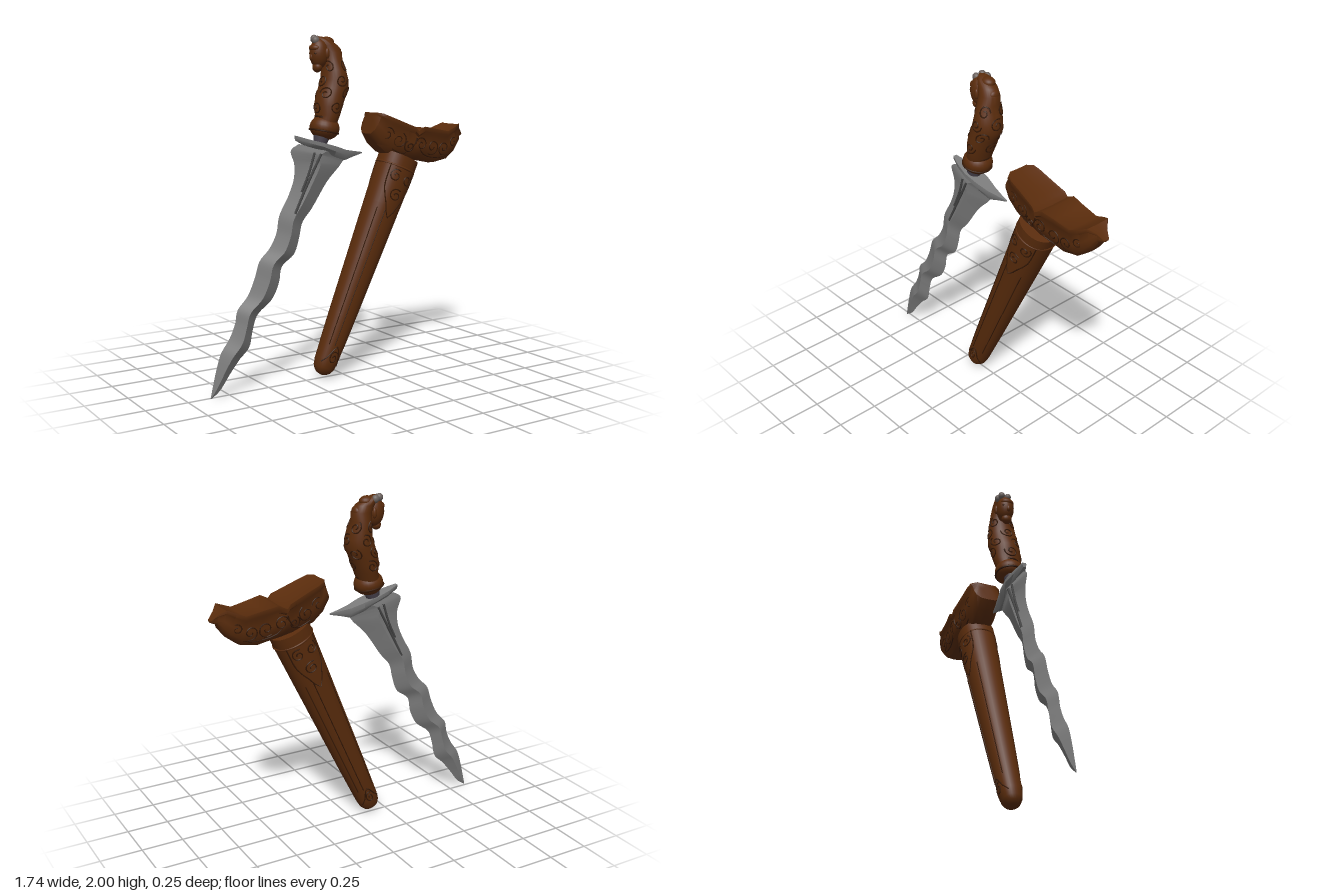
import * as THREE from 'three';
import { toCreasedNormals } from 'three/addons/utils/BufferGeometryUtils.js';

const V = (x, y, z) => new THREE.Vector3(x, y, z);
const mat = (name, color) => new THREE.MeshStandardMaterial({ name, color });

// Closed skin through rings of equal point count, capped at both ends
function loft(rings, crease = 0.7) {
  const n = rings[0].length, pos = [], idx = [];
  rings.forEach(r => r.forEach(p => pos.push(p.x, p.y, p.z)));
  for (let i = 0; i + 1 < rings.length; i++) for (let j = 0; j < n; j++) {
    const a = i * n + j, b = i * n + (j + 1) % n;
    idx.push(a, b, a + n, b, b + n, a + n);
  }
  [0, rings.length - 1].forEach(k => {
    const c = rings[k].reduce((s, p) => s.add(p), V(0, 0, 0)).divideScalar(n);
    const ci = pos.length / 3;
    pos.push(c.x, c.y, c.z);
    for (let j = 0; j < n; j++) {
      const a = k * n + j, b = k * n + (j + 1) % n;
      if (k) idx.push(a, b, ci); else idx.push(b, a, ci);
    }
  });
  // Turn the skin outward when its signed volume is negative
  const at = i => V(pos[3 * i], pos[3 * i + 1], pos[3 * i + 2]);
  let vol = 0;
  for (let i = 0; i < idx.length; i += 3) vol += at(idx[i]).dot(at(idx[i + 1]).cross(at(idx[i + 2])));
  if (vol < 0) idx.reverse();
  const g = new THREE.BufferGeometry();
  g.setAttribute('position', new THREE.Float32BufferAttribute(pos, 3));
  g.setIndex(idx);
  return toCreasedNormals(g, crease);
}

// Linear lookup of one column in a table of rows
function look(rows, x, col, key = 0) {
  let i = 1;
  while (i < rows.length - 1 && rows[i][key] < x) i++;
  const a = rows[i - 1], b = rows[i];
  const t = THREE.MathUtils.clamp((x - a[key]) / (b[key] - a[key]), 0, 1);
  return a[col] + (b[col] - a[col]) * t;
}

const range = (n, f) => Array.from({ length: n }, (_, i) => f(i, i / (n - 1)));
const spiral = (cx, cy, r, turn = 1, start = 0) => range(16, (i, t) => {
  const a = start + turn * t * 8.5, q = r * (1 - 0.8 * t);
  return [cx + q * Math.cos(a), cy + q * Math.sin(a)];
});

export function createModel() {
  const wood = mat('carved wood', 0x5a2c0c);
  const dark = mat('dark carving', 0x341804);
  const steel = mat('blade steel', 0x7c7c7c);
  const groove = mat('dark steel', 0x484848);
  const ferruleMat = mat('ferrule metal', 0x48424c);
  const horn = mat('grey crown', 0x6b625e);
  const root = new THREE.Group();
  const group = name => { const g = new THREE.Group(); g.name = name; root.add(g); return g; };
  const add = (parent, name, geo, m) => {
    const mesh = new THREE.Mesh(geo, m);
    mesh.name = name;
    parent.add(mesh);
    return mesh;
  };
  const line = (parent, name, pts, r, m = dark) =>
    add(parent, name, new THREE.TubeGeometry(new THREE.CatmullRomCurve3(pts), pts.length * 2, r, 5), m);
  const ball = (parent, name, p, s, m = wood) => {
    const b = add(parent, name, new THREE.SphereGeometry(1, 24, 16), m);
    b.position.set(...p);
    b.scale.set(...s);
    return b;
  };

  // Wavy blade: left x, left y, right x, right y from the tip upward
  const dagger = group('dagger'), zc = 0.015;
  const edges = [
    [-.873, .004, -.868, .001], [-.855, .08, -.815, .04], [-.835, .16, -.755, .12], [-.805, .25, -.69, .20],
    [-.75, .33, -.63, .26], [-.715, .41, -.605, .36], [-.70, .48, -.575, .44], [-.635, .555, -.48, .52],
    [-.59, .65, -.435, .61], [-.557, .745, -.415, .70], [-.495, .81, -.335, .765], [-.45, .89, -.30, .86],
    [-.43, .99, -.28, .94], [-.37, 1.10, -.215, 1.02], [-.335, 1.19, -.11, 1.17], [-.33, 1.275, -.03, 1.25],
    [-.352, 1.355, 0, 1.285], [-.30, 1.39, .03, 1.30]];
  const left = new THREE.CatmullRomCurve3(edges.map(e => V(e[0], e[1], zc)));
  const right = new THREE.CatmullRomCurve3(edges.map(e => V(e[2], e[3], zc)));
  add(dagger, 'blade', loft(range(90, (i, t) => {
    const l = left.getPoint(t), r = right.getPoint(t), m = l.clone().lerp(r, 0.5);
    const h = 0.036 * Math.min(1, 0.03 + t * 5);
    return [l, V(m.x, m.y, zc + h), r, V(m.x, m.y, zc - h)];
  }), 0.45), steel);

  // Grooves below the guard
  for (const s of [1, -1]) {
    line(dagger, 'bladeGroove', [V(-.345, 1.0, zc + s * .032), V(-.27, 1.15, zc + s * .031), V(-.175, 1.33, zc + s * .036)], .008, groove);
    line(dagger, 'bladeGroove', [V(-.30, 1.12, zc + s * .028), V(-.25, 1.23, zc + s * .03), V(-.215, 1.34, zc + s * .032)], .007, groove);
  }

  // Slanting guard: x, top, bottom, half depth
  const guard = [[-.32, 1.437, 1.41, .012], [-.25, 1.415, 1.375, .035], [-.17, 1.395, 1.35, .052],
    [-.08, 1.37, 1.31, .046], [0, 1.345, 1.285, .03], [.06, 1.335, 1.302, .016], [.125, 1.325, 1.318, .003]];
  add(dagger, 'guard', loft(guard.map(([x, t, b, h]) => [
    V(x, t, zc - h), V(x, t, zc + h), V(x, t - (t - b) * .5, zc + h), V(x, b, zc + h * .5),
    V(x, b, zc - h * .5), V(x, t - (t - b) * .5, zc - h)])), steel);

  // Ferrule and round handle base
  const ferrule = add(dagger, 'ferrule', new THREE.CylinderGeometry(.05, .038, .08, 24), ferruleMat);
  ferrule.position.set(-.15, 1.415, .01);
  ferrule.rotation.z = -.25;
  ball(dagger, 'handleBase', [-.125, 1.475, .008], [.086, .07, .086]).rotation.z = -.2;
  for (const [x, y, r] of [[-.13, 1.455, .083], [-.112, 1.53, .062]]) {
    const ring = add(dagger, 'handleRing', new THREE.TorusGeometry(r, .006, 6, 32), dark);
    ring.position.set(x, y, .008);
    ring.rotation.set(Math.PI / 2, -.2, 0);
  }

  // Curved handle: y, centre x, half width, centre z, half depth
  const grip = [[1.5, -.12, .066, .005, .075], [1.55, -.103, .067, .005, .085], [1.6, -.095, .08, 0, .09],
    [1.65, -.08, .085, 0, .09], [1.7, -.058, .088, -.005, .09], [1.75, -.052, .077, -.005, .088],
    [1.8, -.053, .068, -.01, .081], [1.85, -.06, .058, -.018, .07], [1.9, -.06, .062, -.022, .058],
    [1.94, -.08, .06, -.028, .05], [1.97, -.11, .045, -.035, .042], [1.99, -.135, .02, -.045, .025]];
  const onGrip = (a, y) => V(look(grip, y, 1) + look(grip, y, 2) * Math.sin(a), y,
    look(grip, y, 3) + look(grip, y, 4) * Math.cos(a));
  add(dagger, 'handle', loft(grip.map(g => range(28, i => onGrip(i / 28 * Math.PI * 2, g[0]))), 1.1), wood);
  for (let k = 0; k < 4; k++) for (let j = 0; j < 4; j++) {
    const s = spiral(0, 0, .038, (k + j) % 2 ? 1 : -1, k);
    line(dagger, 'handleScroll', s.map(([u, v]) => onGrip(k * Math.PI / 2 + (j % 2) * .6 + u * 13, 1.595 + j * .075 + v)), .004);
  }

  // Small figure head with face, curl and grey crown
  ball(dagger, 'head', [-.14, 1.895, -.025], [.057, .085, .052]);
  ball(dagger, 'brow', [-.165, 1.925, -.025], [.035, .025, .042]);
  ball(dagger, 'nose', [-.187, 1.875, -.025], [.015, .022, .014]);
  ball(dagger, 'chin', [-.155, 1.818, -.022], [.026, .03, .032]);
  ball(dagger, 'hairCurl', [-.022, 1.905, -.025], [.022, .03, .035]);
  ball(dagger, 'hairKnot', [-.085, 1.96, -.035], [.045, .03, .038]);
  for (const s of [1, -1]) {
    ball(dagger, 'eye', [-.178, 1.895, -.025 + s * .027], [.012, .007, .01], dark);
    ball(dagger, 'ear', [-.115, 1.895, -.025 + s * .048], [.014, .03, .012]);
  }
  for (const [x, y, z] of [[-.155, 1.977, -.055], [-.165, 1.968, -.02], [-.125, 1.972, -.065]])
    ball(dagger, 'crown', [x, y, z], [.022, .023, .02], horn);

  // Sheath stem, built along its own axis: height, radius
  const sheath = group('sheath'), stem = new THREE.Group();
  stem.name = 'sheathStem';
  stem.position.set(-.13, .085, .012);
  stem.rotation.z = -.412;
  sheath.add(stem);
  const radii = [[-.066, .006], [-.06, .028], [-.045, .048], [-.02, .062], [.03, .069], [.3, .082],
    [.65, .096], [1, .11], [1.25, .12], [1.31, .12]];
  const onStem = (a, t) => {
    const r = look(radii, t, 1), c = Math.cos(a), s = Math.sin(a);
    return V(r * Math.sign(s) * Math.abs(s) ** .9, t, r * .92 * Math.sign(c) * Math.abs(c) ** .9);
  };
  add(stem, 'stemBody', loft(radii.map(p => range(32, i => onStem(i / 32 * Math.PI * 2, p[0]))), .8), wood);
  for (const side of [0, Math.PI]) {
    for (const a of [-.75, -.25, .75])
      line(stem, 'stemRidge', range(8, (i, t) => onStem(side + a, .12 + t * .85)), .003);
    line(stem, 'stemPanel', [[-.8, 1.24], [-.75, 1.1], [-.4, 1.02], [0, .93], [.4, 1.02], [.75, 1.1], [.8, 1.24]]
      .map(([a, t]) => onStem(side + a, t)), .004);
    line(stem, 'tipPanel', [[-1, .01], [-.5, .05], [0, .12], [.5, .05], [1, .01]]
      .map(([a, t]) => onStem(side + a, t)), .004);
    [[-.35, 1.18, 1], [.35, 1.18, -1], [0, 1.07, 1], [0, .05, 1]].forEach(([a, t, d]) =>
      line(stem, 'stemScroll', spiral(0, 0, .04, d, 1).map(([u, v]) => onStem(side + a + u * 9, t + v)), .004));
  }
  const collar = add(stem, 'stemCollar', new THREE.TorusGeometry(.119, .007, 8, 40), wood);
  collar.rotation.x = Math.PI / 2;
  collar.scale.y = .92;
  collar.position.y = 1.24;

  // Boat-shaped mouthpiece: top x, top y, bottom x, bottom y, half depth
  const mouth = [[.20, 1.555, .185, 1.50, .06], [.225, 1.55, .165, 1.43, .095], [.26, 1.535, .205, 1.365, .105],
    [.325, 1.51, .27, 1.31, .11], [.40, 1.48, .40, 1.277, .118], [.44, 1.465, .45, 1.268, .123],
    [.46, 1.44, .48, 1.263, .125], [.51, 1.465, .52, 1.256, .122], [.59, 1.45, .62, 1.236, .112],
    [.695, 1.43, .72, 1.255, .105], [.75, 1.452, .78, 1.30, .098], [.795, 1.472, .815, 1.345, .08],
    [.83, 1.44, .83, 1.38, .04], [.867, 1.405, .865, 1.395, .018]];
  const half = [[.85, .975], [1, 1], [1, .87], [.9, .8], [.9, .5], [.78, .22], [.5, .03]];
  const section = [[0, .96], ...half, [0, 0], ...half.map(([z, v]) => [-z, v]).reverse()];
  add(sheath, 'sheathMouth', loft(mouth.map(([xt, yt, xb, yb, h]) => section.map(([z, v]) =>
    V(xb + (xt - xb) * v, yb + (yt - yb) * v, z * h))), .75), wood);

  // Scroll carving on both faces of the mouthpiece
  const onMouth = (x, y, s) => {
    const top = look(mouth, x, 1), low = look(mouth, x, 3, 2);
    const f = look([[.03, .5], [.22, .78], [.5, .9], [.8, .9]], (y - low) / (top - low), 1);
    return V(x, y, s * f * look(mouth, x, 4));
  };
  const scrolls = [[.255, 1.43, .045, 1], [.335, 1.39, .05, -1], [.41, 1.35, .038, 1], [.49, 1.36, .045, -1],
    [.58, 1.34, .05, 1], [.67, 1.33, .045, -1], [.745, 1.36, .035, 1]];
  for (const s of [1, -1]) {
    scrolls.forEach(([x, y, r, d], i) =>
      line(sheath, 'mouthScroll', spiral(x, y, r, d, i).map(p => onMouth(...p, s)), .004));
    line(sheath, 'mouthVine', [[.23, 1.39], [.3, 1.34], [.38, 1.31], [.44, 1.36], [.455, 1.4]].map(p => onMouth(...p, s)), .004);
    line(sheath, 'mouthVine', [[.455, 1.4], [.5, 1.31], [.6, 1.275], [.7, 1.285], [.77, 1.34]].map(p => onMouth(...p, s)), .004);
  }
  return root;
}
